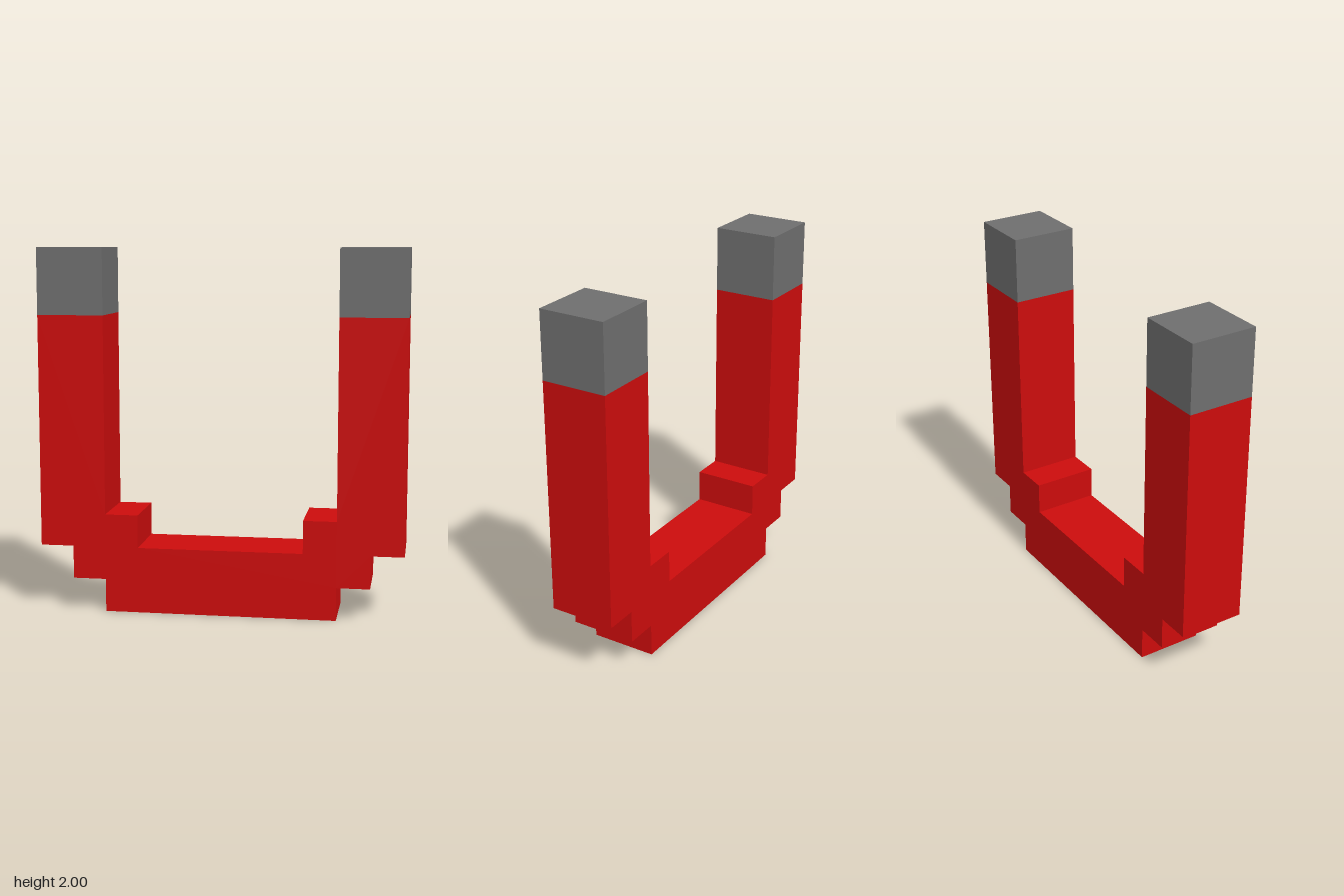
import * as THREE from 'three';

const U = 2 / 11; // one grid cell of the blocky design

export function createModel() {
  const red = new THREE.MeshStandardMaterial({ color: 0xcc0c0c });
  red.name = 'red';
  const grey = new THREE.MeshStandardMaterial({ color: 0x6e6e6e });
  grey.name = 'grey';

  const group = new THREE.Group();
  group.name = 'horseshoeMagnet';

  // Stepped U outline: right half in cells, mirrored for the left half
  const half = [[3.5, 0], [3.5, 1], [4.5, 1], [4.5, 2], [5.5, 2], [5.5, 9],
    [3.5, 9], [3.5, 3], [2.5, 3], [2.5, 2]];
  const mirrored = half.map(([x, y]) => [-x, y]).reverse();
  const outline = [...half, ...mirrored].map(([x, y]) => new THREE.Vector2(x * U, y * U));
  const bodyGeometry = new THREE.ExtrudeGeometry(new THREE.Shape(outline), {
    depth: 2 * U, bevelEnabled: false,
  });
  bodyGeometry.translate(0, 0, -U);
  const body = new THREE.Mesh(bodyGeometry, red);
  body.name = 'body';
  group.add(body);

  // Cube-shaped pole tips
  for (const [name, side] of [['leftTip', 1], ['rightTip', -1]]) {
    const tip = new THREE.Mesh(new THREE.BoxGeometry(2 * U, 2 * U, 2 * U), grey);
    tip.name = name;
    tip.position.set(side * 4.5 * U, 10 * U, 0);
    group.add(tip);
  }
  return group;
}
